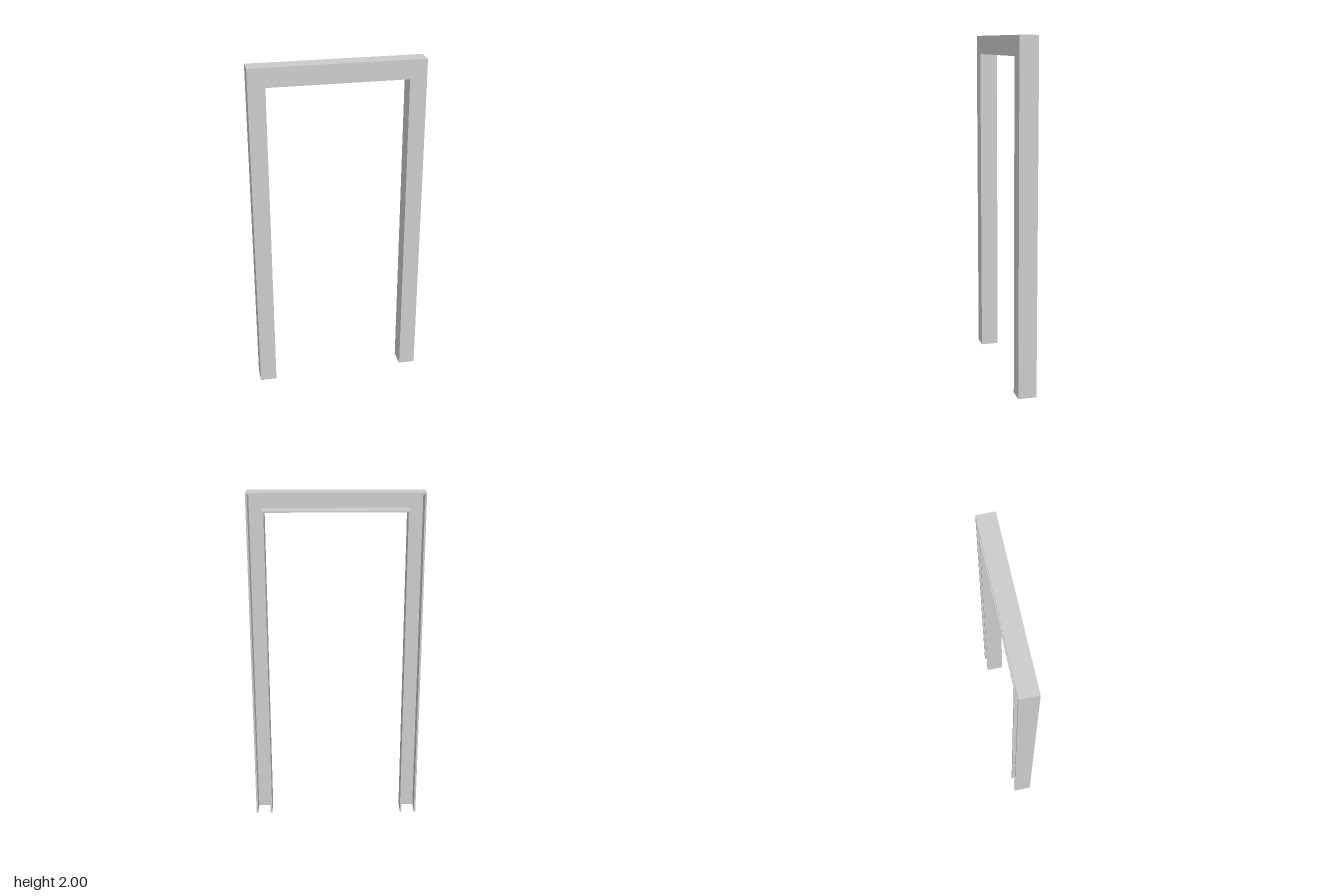
import * as THREE from 'three';

const HALF_W = 0.5, HEIGHT = 2;          // outer size of the frame
const IN_W = 0.402, IN_H = 1.89;         // clear opening
const BACK = -0.053, FRONT = 0.053;      // depth range
const T = 0.01;                          // sheet thickness

// Upside-down U between an outer and an inner outline, extruded from z0 to z1
function archBand(name, outerW, outerH, innerW, innerH, z0, z1, material) {
  const shape = new THREE.Shape([
    [-outerW, 0], [-innerW, 0], [-innerW, innerH], [innerW, innerH],
    [innerW, 0], [outerW, 0], [outerW, outerH], [-outerW, outerH],
  ].map(([x, y]) => new THREE.Vector2(x, y)));
  const geometry = new THREE.ExtrudeGeometry(shape, { depth: z1 - z0, bevelEnabled: false });
  geometry.translate(0, 0, z0);
  const mesh = new THREE.Mesh(geometry, material);
  mesh.name = name;
  return mesh;
}

export function createModel() {
  const group = new THREE.Group();
  group.name = 'doorFrame';
  const material = new THREE.MeshStandardMaterial({ color: 0xcccccc, flatShading: true });

  group.add(
    // Front face of the channel
    archBand('frontPlate', HALF_W, HEIGHT, IN_W, IN_H, FRONT - T, FRONT, material),
    // Flange around the outside, open channel behind the face
    archBand('outerFlange', HALF_W, HEIGHT, HALF_W - T, HEIGHT - T, BACK, FRONT - T, material),
    // Flange lining the opening
    archBand('innerFlange', IN_W + T, IN_H + T, IN_W, IN_H, BACK, FRONT - T, material),
  );
  return group;
}
